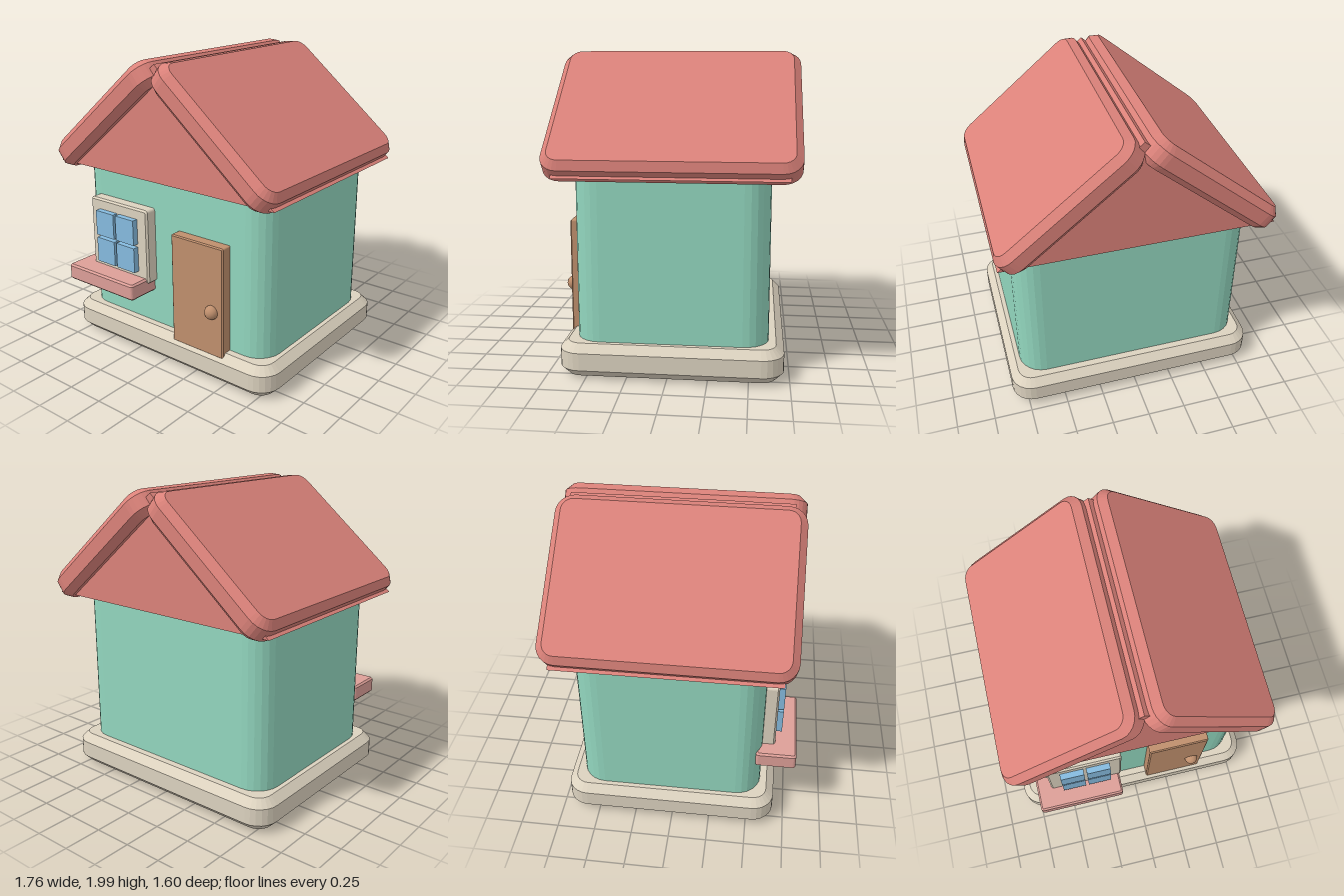
import * as THREE from 'three';

const mat = (name, color) => {
  const m = new THREE.MeshStandardMaterial({ color });
  m.name = name;
  return m;
};

// Rounded rectangle outline centred on the origin
function roundedRect(w, h, r) {
  const s = new THREE.Shape();
  const x = w / 2, y = h / 2;
  s.moveTo(-x + r, -y);
  s.absarc(x - r, -y + r, r, -Math.PI / 2, 0, false);
  s.absarc(x - r, y - r, r, 0, Math.PI / 2, false);
  s.absarc(-x + r, y - r, r, Math.PI / 2, Math.PI, false);
  s.absarc(-x + r, -y + r, r, Math.PI, Math.PI * 1.5, false);
  return s;
}

// Bevelled slab lying in XY, centred, with its thickness along z
function slab(w, h, depth, r, bevel) {
  const g = new THREE.ExtrudeGeometry(roundedRect(w, h, r), {
    depth: depth - 2 * bevel, curveSegments: 3, bevelEnabled: true, bevelSegments: 1,
    bevelSize: bevel, bevelThickness: bevel, bevelOffset: -bevel,
  });
  return g.translate(0, 0, bevel - depth / 2);
}

// The same slab lying flat: width x, height y, depth z
const flatSlab = (w, h, d, r, bevel) => slab(w, d, h, r, bevel).rotateX(-Math.PI / 2);

export function createModel() {
  const house = new THREE.Group();
  house.name = 'house';

  const red = mat('roofRed', 0xdb827a);
  const green = mat('wallGreen', 0x92d6be);
  const stone = mat('stoneBeige', 0xdcd2bf);
  const blue = mat('glassBlue', 0x86bbdf);
  const brown = mat('doorBrown', 0xbf8f6d);
  const pink = mat('sillPink', 0xdd9f98);

  const add = (name, geometry, material, x, y, z, parent = house) => {
    const m = new THREE.Mesh(geometry, material);
    m.name = name;
    m.position.set(x, y, z);
    parent.add(m);
    return m;
  };

  const midZ = -0.02;

  // Body: walls run down through the plinth
  add('walls', flatSlab(1.53, 1.3, 1.2, 0.16, 0.05), green, 0, 0.65, midZ);
  add('plinth', flatSlab(1.69, 0.21, 1.39, 0.14, 0.05), stone, 0, 0.115, midZ);

  // Gable prism under the roof
  const tri = new THREE.Shape([
    new THREE.Vector2(-0.87, 1.25), new THREE.Vector2(0.87, 1.25), new THREE.Vector2(0, 1.98),
  ]);
  const gable = new THREE.ExtrudeGeometry(tri, { depth: 1.4, bevelEnabled: false });
  add('gable', gable, red, 0, 0, midZ - 0.705);

  // Two sloping roof slabs
  const roofGeo = flatSlab(1.08, 0.18, 1.55, 0.12, 0.045);
  for (const side of [-1, 1]) {
    const panel = add(side < 0 ? 'roofRight' : 'roofLeft', roofGeo, red, side * 0.435, 1.608, midZ - 0.003);
    panel.rotation.z = -side * 0.693;
  }

  // Window with four panes and a sill
  const win = new THREE.Group();
  win.name = 'window';
  house.add(win);
  add('windowFrame', slab(0.51, 0.51, 0.14, 0.02, 0.012), stone, -0.37, 0.78, 0.59, win);
  for (const x of [-0.46, -0.28])
    for (const y of [0.685, 0.877])
      add('windowPane', new THREE.BoxGeometry(0.16, 0.172, 0.08), blue, x, y, 0.66, win);
  add('windowSill', flatSlab(0.595, 0.11, 0.26, 0.02, 0.012), pink, -0.43, 0.505, 0.67, win);

  // Door with a round knob
  const door = new THREE.Group();
  door.name = 'door';
  house.add(door);
  add('doorPanel', slab(0.41, 0.745, 0.14, 0.01, 0.008), brown, 0.29, 0.557, 0.585, door);
  add('doorKnob', new THREE.SphereGeometry(0.046, 16, 12), brown, 0.41, 0.49, 0.657, door);

  return house;
}
